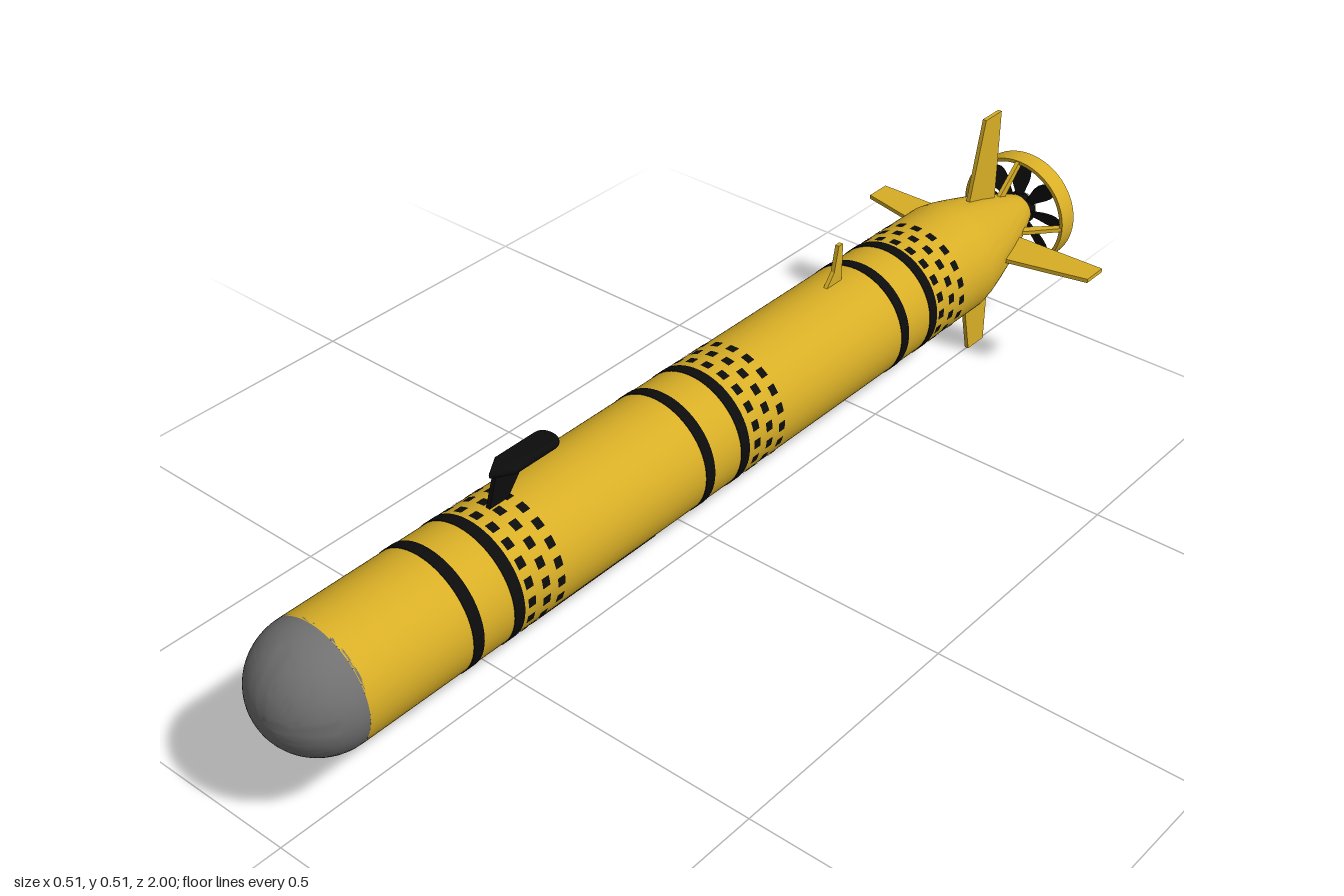
import * as THREE from 'three';
import { mergeGeometries, toCreasedNormals } from 'three/addons/utils/BufferGeometryUtils.js';

const AXIS_Y = 0.26, R = 0.111;
const mat = (color) => new THREE.MeshStandardMaterial({ color, side: THREE.DoubleSide });
const YELLOW = mat(0xd8ae26), BLACK = mat(0x0c0c0c), GREY = mat(0x707070), HUB = mat(0xcccccc);

// Revolves [radius, z] points (rising z on the outside) about the z axis; angle 0 is the underside
function lathe(points, segments = 64, start = 0, length = Math.PI * 2) {
  const g = new THREE.LatheGeometry(points.map(([r, z]) => new THREE.Vector2(r, z)), segments, start, length);
  return toCreasedNormals(g.rotateX(Math.PI / 2), 0.5);
}

// Rectangular band between two radii and two z positions
const band = (r0, r1, z0, z1, ...rest) => lathe([[r0, z0], [r1, z0], [r1, z1], [r0, z1], [r0, z0]], ...rest);

// Flat upright plate from [z, y] corners, centred on x = 0
function plate(corners, thickness) {
  const shape = new THREE.Shape(corners.map(([z, y]) => new THREE.Vector2(z, y)));
  const g = new THREE.ExtrudeGeometry(shape, { depth: thickness, bevelEnabled: false });
  return g.translate(0, 0, -thickness / 2).rotateY(-Math.PI / 2);
}

export function createModel() {
  const root = new THREE.Group();
  root.name = 'underwaterVehicle';
  const model = new THREE.Group();
  model.name = 'vehicle';
  model.position.y = AXIS_Y;
  root.add(model);
  const add = (name, geometry, material) => {
    const mesh = new THREE.Mesh(geometry, material);
    mesh.name = name;
    model.add(mesh);
    return mesh;
  };

  // Hull with tapered tail
  add('hull', lathe([[0, -0.962], [0.03, -0.962], [0.038, -0.945], [0.052, -0.91], [0.066, -0.87],
    [0.083, -0.82], [0.097, -0.77], [0.106, -0.735], [R, -0.705], [R, 0.89], [0, 0.89]]), YELLOW);

  // Domed nose
  const dome = [[0, 0.885], [R, 0.885]];
  for (let i = 0; i <= 16; i++) {
    const a = (i / 16) * Math.PI / 2;
    dome.push([R * Math.cos(a), 0.889 + R * Math.sin(a)]);
  }
  add('nose', lathe(dome), GREY);

  // Painted stripes
  for (const z of [0.67, 0.582, 0.128, 0.037, -0.422, -0.51]) {
    add('stripe', band(R - 0.003, R + 0.0012, z - 0.011, z + 0.011), BLACK);
  }

  // Staggered rows of square marks behind each pair of stripes
  const COUNT = 20;
  for (const z of [0.555, 0.005, -0.535]) {
    const marks = [];
    for (let row = 0; row < 3; row++) {
      for (let i = 0; i < COUNT; i++) {
        const a = ((i + (row % 2) / 2) / COUNT) * Math.PI * 2;
        const g = new THREE.CylinderGeometry(R + 0.001, R + 0.001, 0.016, 3, 1, true, a - 0.08, 0.16);
        marks.push(g.rotateX(Math.PI / 2).translate(0, 0, z - row * 0.033));
      }
    }
    add('marks', mergeGeometries(marks), BLACK);
  }

  // Curved sensor panel under the front
  add('bellyPanel', band(R - 0.004, 0.1165, 0.215, 0.495, 20, -0.58, 1.16), BLACK);

  // Swept mast carrying a flat pod
  add('mast', plate([[0.532, 0.1], [0.488, 0.1], [0.488, 0.112], [0.445, 0.165], [0.512, 0.165], [0.53, 0.112]], 0.008), BLACK);
  const pod = new THREE.Shape();
  pod.moveTo(0, 0.515);
  pod.lineTo(0.018, 0.485);
  pod.lineTo(0.018, 0.4);
  pod.quadraticCurveTo(0.018, 0.386, 0, 0.386);
  pod.quadraticCurveTo(-0.018, 0.386, -0.018, 0.4);
  pod.lineTo(-0.018, 0.485);
  pod.closePath();
  const podGeo = new THREE.ExtrudeGeometry(pod, {
    depth: 0.003, bevelThickness: 0.006, bevelSize: 0.006, bevelSegments: 4, curveSegments: 10,
  });
  add('antennaPod', toCreasedNormals(podGeo.rotateX(Math.PI / 2).translate(0, 0.17, 0), 0.6), BLACK);

  // Small dorsal blade
  add('dorsalBlade', plate([[-0.318, 0.105], [-0.366, 0.105], [-0.366, 0.185], [-0.354, 0.185], [-0.343, 0.135]], 0.008), YELLOW);

  // Four tail fins, and four struts holding the propeller ring
  for (let i = 0; i < 4; i++) {
    const turn = i * Math.PI / 2;
    add('tailFin', plate([[-0.765, 0.06], [-0.862, 0.05], [-0.862, 0.256], [-0.81, 0.256]], 0.008), YELLOW).rotation.z = turn;
    add('ringStrut', plate([[-0.875, 0.055], [-0.897, 0.05], [-0.955, 0.108], [-0.943, 0.113]], 0.008), YELLOW).rotation.z = turn;
  }
  add('propellerRing', band(0.108, 0.115, -0.984, -0.943), YELLOW);

  // Propeller: hub, collar and pitched paddle blades
  add('propellerHub', new THREE.SphereGeometry(0.03, 32, 20).translate(0, 0, -0.97), HUB);
  add('propellerCollar', band(0.0, 0.034, -0.972, -0.952, 32), BLACK);
  const blade = new THREE.Shape();
  blade.moveTo(-0.007, 0.025);
  blade.bezierCurveTo(-0.009, 0.05, -0.02, 0.06, -0.019, 0.083);
  blade.bezierCurveTo(-0.017, 0.107, 0.017, 0.107, 0.019, 0.083);
  blade.bezierCurveTo(0.02, 0.06, 0.009, 0.05, 0.007, 0.025);
  const bladeGeo = new THREE.ExtrudeGeometry(blade, { depth: 0.004, bevelEnabled: false, curveSegments: 8 });
  bladeGeo.translate(0, 0, -0.002).rotateY(0.5);
  const propeller = new THREE.Group();
  propeller.name = 'propeller';
  propeller.position.z = -0.962;
  for (let i = 0; i < 8; i++) {
    const mesh = new THREE.Mesh(bladeGeo, BLACK);
    mesh.name = 'propellerBlade';
    mesh.rotation.z = (i / 8) * Math.PI * 2;
    propeller.add(mesh);
  }
  model.add(propeller);
  return root;
}
